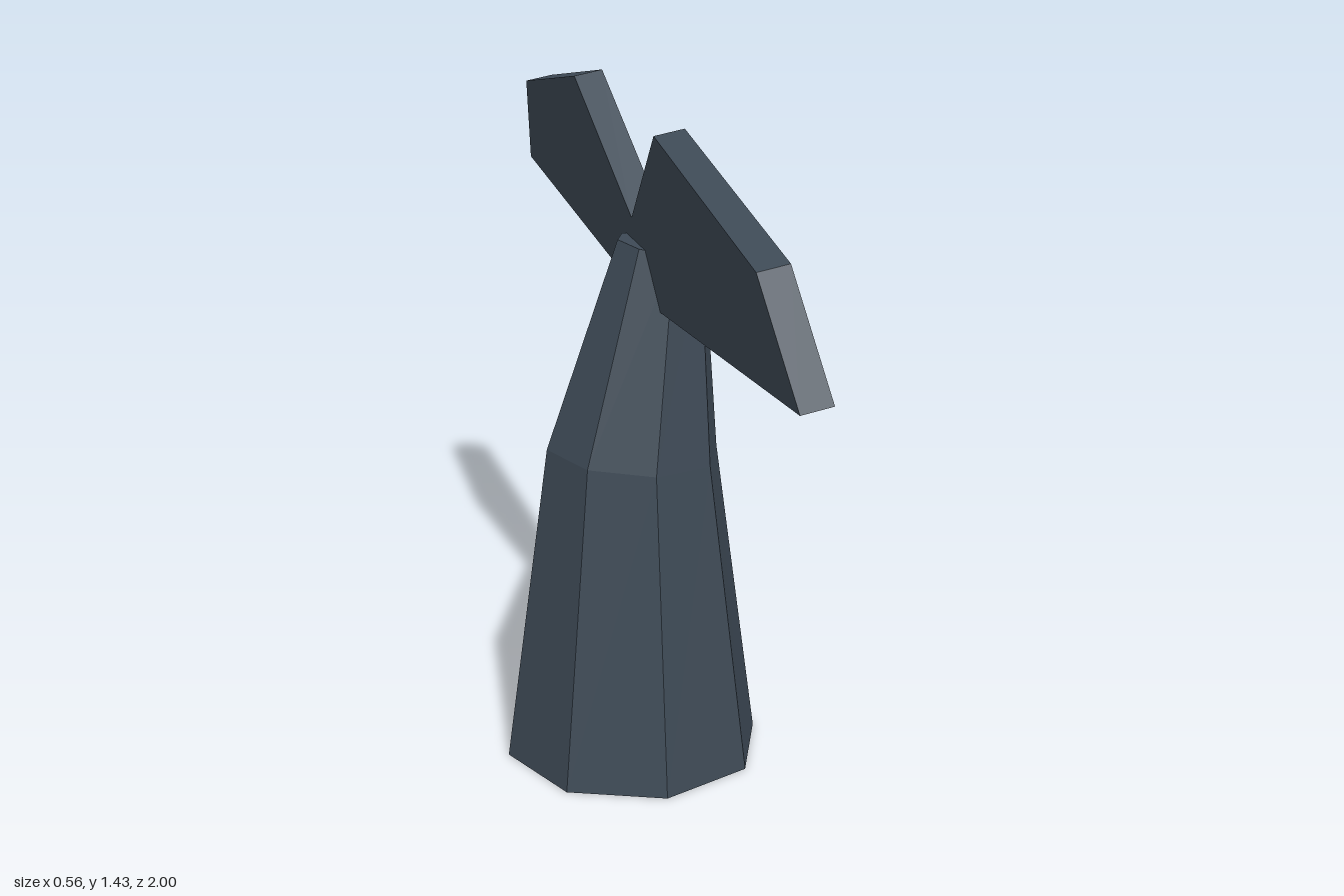
import * as THREE from 'three';

export function createModel() {
  const model = new THREE.Group();
  model.name = 'whaleTail';
  const slate = new THREE.MeshStandardMaterial({ color: 0x3e4a56, flatShading: true });
  slate.name = 'slate blue';

  // Stalk: an eight-sided column whose rings shrink, shift and tilt as they rise
  const rings = [
    { x: 0, y: 0, r: 0.28, tilt: 0 },
    { x: 0, y: 0.688, r: 0.186, tilt: -0.067 },
    { x: 0.061, y: 1.126, r: 0.094, tilt: -0.175 },
  ];
  const column = new THREE.CylinderGeometry(1, 1, 2, 8, 2);
  const pos = column.attributes.position;
  for (let i = 0; i < pos.count; i++) {
    const ring = rings[Math.round(pos.getY(i) + 1)];
    const across = pos.getX(i) * ring.r;
    pos.setXYZ(i,
      ring.x + across * Math.cos(ring.tilt),
      ring.y + across * Math.sin(ring.tilt),
      pos.getZ(i) * ring.r);
  }
  const stalkGeometry = column.toNonIndexed();
  stalkGeometry.computeVertexNormals();
  const stalk = new THREE.Mesh(stalkGeometry, slate);
  stalk.name = 'stalk';
  model.add(stalk);

  // Flukes: one mirrored outline, extruded to a slab and leaned over
  const half = [[1, 0.092], [0.87, 0.308], [0.31, 0.4245]];
  const mirrored = half.map(([u, v]) => [-u, v]).reverse();
  const outline = [[0, 0], ...half, [0, 0.185], ...mirrored];
  const shape = new THREE.Shape(outline.map(([u, v]) => new THREE.Vector2(u, v)));
  const thickness = 0.062;
  const flukeGeometry = new THREE.ExtrudeGeometry(shape, { depth: thickness, bevelEnabled: false });
  flukeGeometry.translate(0, 0, -thickness / 2);
  flukeGeometry.rotateY(Math.PI / 2);
  const flukes = new THREE.Mesh(flukeGeometry, slate);
  flukes.name = 'flukes';
  flukes.position.set(0.0605, 1.0095, 0);
  flukes.rotation.z = THREE.MathUtils.degToRad(10);
  model.add(flukes);

  return model;
}
